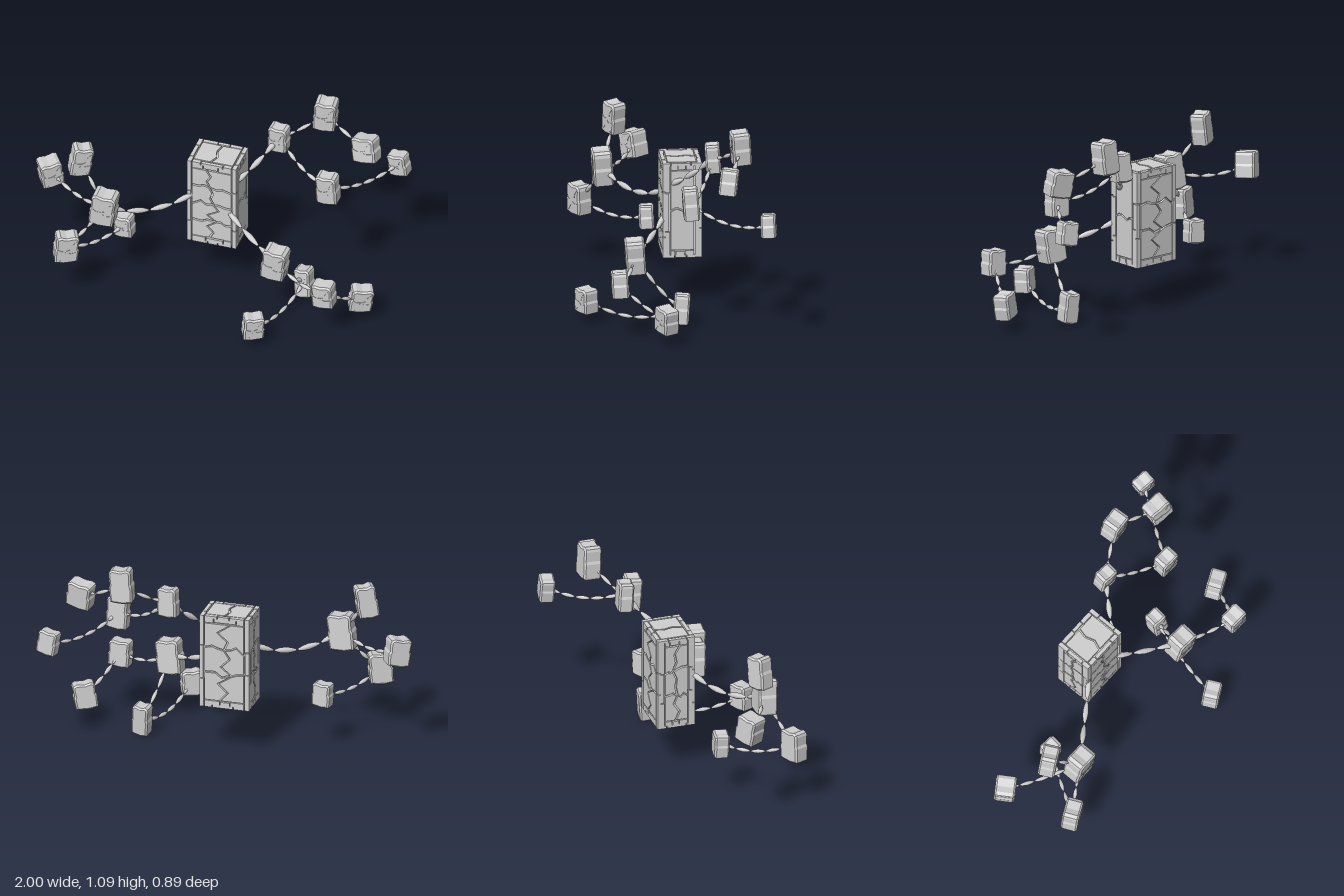
import * as THREE from 'three';

const stone = new THREE.MeshStandardMaterial({ color: 0xcfcfcf });
stone.name = 'stone grey';

function seeded(seed) {
  let s = seed * 7919 + 17;
  return () => ((s = (s * 16807) % 2147483647) / 2147483647) * 2 - 1;
}

const shapeOf = pts => new THREE.Shape(pts.map(p => new THREE.Vector2(p[0], p[1])));

function mesh(geometry, name) {
  const m = new THREE.Mesh(geometry, stone);
  m.name = name;
  return m;
}

// One face of the pillar: a broken border and cracked plates, with open gaps between them
const T = 0.014;
function crackedFace(w, h, rows, seed, zigzag, name) {
  const face = new THREE.Group();
  face.name = name;
  const rnd = seeded(seed), b = 0.026, g = 0.0025;
  const plate = (pts, part) => face.add(mesh(
    new THREE.ExtrudeGeometry(shapeOf(pts), { depth: T, bevelEnabled: false }), part));
  const rect = (x0, y0, x1, y1) => plate([[x0, y0], [x1, y0], [x1, y1], [x0, y1]], 'borderStone');

  // Border strips, chipped into three pieces on each side
  const cuts = len => [-len / 2, len * (-0.2 + 0.1 * rnd()), len * (0.2 + 0.1 * rnd()), len / 2];
  for (const s of [-1, 1]) {
    const cy = cuts(h), cx = cuts(w - 2 * b);
    for (let i = 0; i < 3; i++) {
      const inset = i === 1 ? 0.004 : 0;
      const xs = [s * w / 2, s * (w / 2 - b + g + inset)].sort((p, q) => p - q);
      rect(xs[0], cy[i] + (i ? g : 0), xs[1], cy[i + 1] - (i < 2 ? g : 0));
      const ys = [s * h / 2, s * (h / 2 - b + g + inset)].sort((p, q) => p - q);
      rect(cx[i] + g, ys[0], cx[i + 1] - g, ys[1]);
    }
  }

  // Inner plates: shared zigzag crack down the middle (if any), kinked cracks across
  const W = w / 2 - b - g, H = h / 2 - b - g, k = 3, n = rows * k;
  const spine = [];
  for (let i = 0; i <= n; i++)
    spine.push([zigzag * W * ((i % 2 ? 0.12 : -0.12) + 0.2 * rnd()), -H + 2 * H * i / n]);
  const gap = 0.005, split = zigzag ? gap : 0;
  for (const s of [-1, 1]) {
    const line = [];
    for (let r = 0; r <= rows; r++) {
      const [x, y] = spine[r * k], j = r === 0 || r === rows ? 0 : Math.min(H / rows, 0.07);
      line.push([[x, y], [x + (s * W - x) * 0.35, y + j * 0.2 * rnd()],
        [x + (s * W - x) * 0.6, y + j * 0.3 * rnd()], [s * W, y + j * 0.3 * rnd()]]);
    }
    for (let r = 0; r < rows; r++) {
      const shift = (pts, d) => pts.map((p, i) => [p[0] + (i ? 0 : s * split), p[1] + d]);
      const low = shift(line[r], r ? gap : 0);
      const top = shift(line[r + 1], r < rows - 1 ? -gap : 0).reverse();
      const inner = spine.slice(r * k + 1, r * k + k).reverse().map(p => [p[0] + s * split, p[1]]);
      plate([...low, ...top, ...inner], 'crackedPlate');
    }
  }
  return face;
}

function createPillar() {
  const pillar = new THREE.Group();
  pillar.name = 'pillar';
  const w = 0.275, h = 0.525, d = 0.21;
  pillar.add(mesh(new THREE.BoxGeometry(w - 2 * T, h - 2 * T, d - 2 * T), 'pillarCore'));
  const put = (face, rx, ry, dist) => {
    face.rotation.set(rx, ry, 0);
    face.position.set(0, 0, dist - T).applyEuler(face.rotation);
    pillar.add(face);
  };
  put(crackedFace(w, h - 2 * T, 4, 3, 1.3, 'frontFace'), 0, 0, d / 2);
  put(crackedFace(w, h - 2 * T, 3, 8, 1.2, 'backFace'), 0, Math.PI, d / 2);
  put(crackedFace(d - 2 * T, h - 2 * T, 2, 5, 0, 'leftFace'), 0, Math.PI / 2, w / 2);
  put(crackedFace(d - 2 * T, h - 2 * T, 3, 6, 1, 'rightFace'), 0, -Math.PI / 2, w / 2);
  put(crackedFace(w, d, 1, 2, 0.5, 'topFace'), -Math.PI / 2, 0, h / 2);
  put(crackedFace(w, d, 1, 4, 0.5, 'bottomFace'), Math.PI / 2, 0, h / 2);
  pillar.position.set(-0.025, 0.527, -0.217);
  pillar.rotation.y = -0.235;
  return pillar;
}

// Chipped stone: irregular outline with an upward ledge at mid height, extruded and chamfered
const OUTLINE = [[-0.46, -0.47], [-0.1, -0.5], [0.3, -0.46], [0.47, -0.43], [0.5, -0.02],
  [0.455, 0.06], [0.48, 0.36], [0.44, 0.45], [0.3, 0.5], [-0.05, 0.45], [-0.3, 0.49],
  [-0.45, 0.44], [-0.48, 0.36], [-0.455, 0.07], [-0.5, -0.01], [-0.48, -0.42]];
const CRACKS = [
  [[0.4, 0.4], [0.22, 0.25], [0.16, 0.08], [-0.06, 0], [-0.12, -0.2], [-0.3, -0.42]],
  [[-0.44, 0.06], [-0.28, -0.02], [-0.06, 0]],
  [[-0.06, 0], [0.12, -0.12], [0.42, -0.06]]];

function createStone([x, y, z, w, h, d, yaw, roll, pitch]) {
  const block = new THREE.Group();
  block.name = 'floatingStone';
  const bevel = 0.009;
  const body = new THREE.ExtrudeGeometry(shapeOf(OUTLINE.map(p => [p[0] * w, p[1] * h])), {
    depth: d - 2 * bevel, bevelThickness: bevel, bevelSize: bevel, bevelOffset: -bevel, bevelSegments: 1 });
  body.translate(0, 0, bevel - d / 2);
  block.add(mesh(body, 'stoneBody'));
  // Cracks on the front, as thin tapering ridges
  for (const line of CRACKS) {
    const side = s => line.map((p, i) => {
      const t = s * 0.0022 * (i === 0 || i === line.length - 1 ? 0.4 : 1);
      return [p[0] * w * 0.9 + t, p[1] * h * 0.9 + t];
    });
    const crack = new THREE.ExtrudeGeometry(shapeOf([...side(-1), ...side(1).reverse()]),
      { depth: 0.003, bevelEnabled: false });
    crack.translate(0, 0, d / 2 - 0.001);
    block.add(mesh(crack, 'stoneCrack'));
  }
  block.position.set(x, y, z);
  block.rotation.set(pitch, yaw, roll, 'YXZ');
  return block;
}

// Chain of tapered links hanging between two points, slightly apart from each other
const linkGeometry = new THREE.LatheGeometry(
  [[0, -0.5], [0.38, -0.47], [0.8, -0.25], [1, 0], [0.8, 0.25], [0.38, 0.47], [0, 0.5]]
    .map(p => new THREE.Vector2(p[0], p[1])), 8);

function createChain(from, to, sag, spacing, radius) {
  const chain = new THREE.Group();
  chain.name = 'chain';
  const a = new THREE.Vector3(...from), c = new THREE.Vector3(...to);
  const mid = a.clone().lerp(c, 0.5);
  mid.y -= 2 * sag;
  const curve = new THREE.QuadraticBezierCurve3(a, mid, c);
  const n = Math.max(2, Math.round(curve.getLength() / spacing));
  for (let i = 0; i < n; i++) {
    const p = curve.getPointAt(i / n), q = curve.getPointAt((i + 1) / n);
    const link = mesh(linkGeometry, 'chainLink');
    link.position.copy(p).lerp(q, 0.5);
    link.scale.set(radius, p.distanceTo(q) * 0.95, radius);
    link.quaternion.setFromUnitVectors(new THREE.Vector3(0, 1, 0), q.sub(p).normalize());
    chain.add(link);
  }
  return chain;
}

// x, y, z, width, height, depth, yaw, roll, pitch
const STONES = {
  a: [-0.745, 0.81, -0.088, 0.115, 0.185, 0.09, 0.26, -0.15, 0.06],
  b: [-0.61, 0.585, 0.025, 0.14, 0.205, 0.105, -0.22, -0.13, 0.07],
  c: [-0.923, 0.595, -0.258, 0.125, 0.155, 0.11, 0.36, 0.15, 0.05],
  e: [-0.81, 0.355, 0.085, 0.13, 0.175, 0.09, 0.22, -0.07, 0.05],
  f: [-0.52, 0.31, -0.195, 0.105, 0.135, 0.08, -0.35, 0.04, 0.05],
  g: [0.298, 0.865, -0.293, 0.11, 0.165, 0.08, -0.32, -0.05, 0.07],
  h: [0.543, 0.987, -0.365, 0.125, 0.19, 0.1, -0.15, -0.08, 0.07],
  i: [0.769, 0.873, -0.225, 0.14, 0.15, 0.095, -0.4, 0.15, -0.1],
  j: [0.577, 0.71, -0.075, 0.12, 0.185, 0.085, -0.28, 0.03, 0.07],
  d: [0.932, 0.66, -0.393, 0.11, 0.135, 0.08, -0.38, 0.14, 0.06],
  k: [0.315, 0.367, 0.15, 0.135, 0.195, 0.105, -0.28, -0.13, 0.07],
  l: [0.589, 0.305, 0.328, 0.12, 0.15, 0.09, -0.28, 0.05, 0.05],
  m: [0.77, 0.14, 0.125, 0.125, 0.148, 0.09, 0.2, -0.15, 0.07],
  n: [0.452, 0.089, -0.065, 0.095, 0.175, 0.085, -0.35, 0.07, -0.07],
  o: [0.215, 0.116, 0.39, 0.115, 0.142, 0.09, 0.25, -0.05, 0.05],
};

// Pairs of joined stones with the sag of their chain
const CHAINS = [['b', 'a', 0.01], ['b', 'c', 0.045], ['b', 'e', 0.02], ['e', 'f', 0.045],
  ['g', 'h', 0.02], ['h', 'i', 0.02], ['g', 'j', 0.05], ['j', 'd', 0.055],
  ['k', 'l', 0.04], ['l', 'm', 0.02], ['k', 'n', 0.03], ['n', 'o', 0.07]];

// Long chains from the pillar to the first stone of each branch
const ROOTS = [[[-0.14, 0.57, -0.16], 'b', 0.07], [[0.06, 0.66, -0.12], 'g', 0.02],
  [[0.03, 0.5, -0.12], 'k', 0.02]];

export function createModel() {
  const model = new THREE.Group();
  model.name = 'chainedStones';
  model.add(createPillar());
  for (const s of Object.values(STONES)) model.add(createStone(s));
  const at = key => STONES[key].slice(0, 3);
  for (const [p, q, sag] of CHAINS) model.add(createChain(at(p), at(q), sag, 0.085, 0.012));
  for (const [p, q, sag] of ROOTS) model.add(createChain(p, at(q), sag, 0.125, 0.017));
  return model;
}
